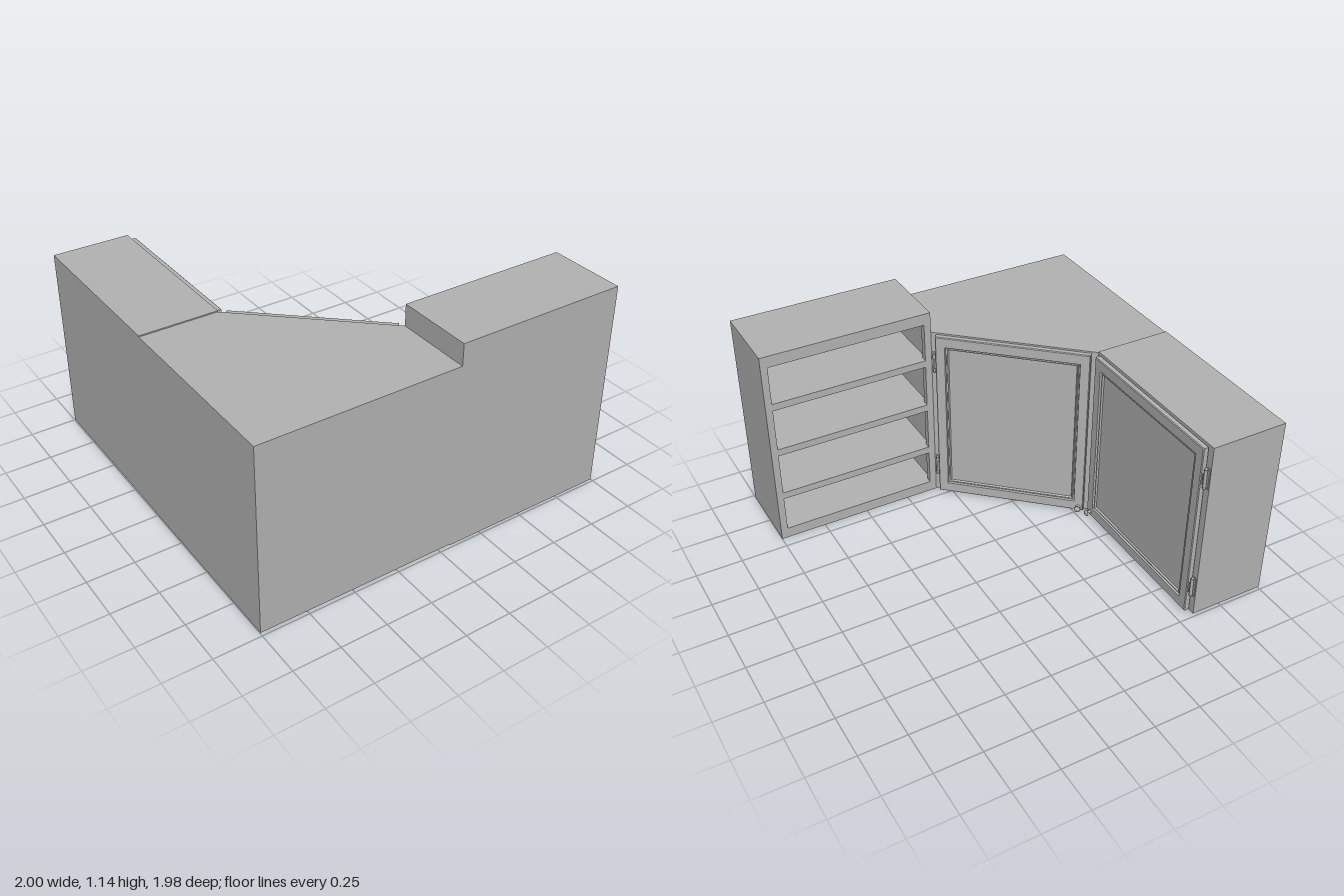
import * as THREE from 'three';

const grey = new THREE.MeshStandardMaterial({ color: 0xb3b3b3 });
grey.name = 'cabinet grey';

function add(parent, name, geometry, x = 0, y = 0, z = 0) {
  const mesh = new THREE.Mesh(geometry, grey);
  mesh.name = name;
  mesh.position.set(x, y, z);
  parent.add(mesh);
  return mesh;
}

// Box given by its lower and upper corners
function block(parent, name, [x0, y0, z0], [x1, y1, z1]) {
  return add(parent, name, new THREE.BoxGeometry(x1 - x0, y1 - y0, z1 - z0),
    (x0 + x1) / 2, (y0 + y1) / 2, (z0 + z1) / 2);
}

// Moulded door slab: nested rectangles, each with an inset and a depth
function doorGeometry(w, h) {
  const rings = [[0, 0], [0, 0.024], [0.004, 0.028], [0.051, 0.028], [0.054, 0.017],
    [0.058, 0.017], [0.061, 0.023], [0.065, 0.023], [0.07, 0.014]];
  const pos = [], index = [];
  for (const [d, z] of rings) {
    const dy = d > 0.01 ? d + 0.007 : d;
    pos.push(d, dy, z, w - d, dy, z, w - d, h - dy, z, d, h - dy, z);
  }
  for (let r = 0; r < rings.length - 1; r++) {
    for (let i = 0; i < 4; i++) {
      const a = r * 4 + i, b = r * 4 + (i + 1) % 4;
      index.push(a, b, b + 4, a, b + 4, a + 4);
    }
  }
  const last = (rings.length - 1) * 4;
  index.push(last, last + 1, last + 2, last, last + 2, last + 3, 0, 2, 1, 0, 3, 2);
  const g = new THREE.BufferGeometry();
  g.setAttribute('position', new THREE.Float32BufferAttribute(pos, 3));
  g.setIndex(index);
  const flat = g.toNonIndexed();
  flat.computeVertexNormals();
  return flat;
}

const knobProfile = [[0, 0], [0.013, 0], [0.013, 0.004], [0.006, 0.008], [0.006, 0.018],
  [0.017, 0.022], [0.018, 0.027], [0.013, 0.032], [0, 0.034]].map(p => new THREE.Vector2(...p));

function hinge(parent, x, y, side) {
  const g = new THREE.Group();
  g.name = 'hinge';
  g.position.set(x, y, 0.014);
  add(g, 'hingeBarrel', new THREE.CylinderGeometry(0.008, 0.008, 0.1, 12));
  for (const s of [-1, 1]) {
    add(g, 'hingeTip', new THREE.SphereGeometry(0.007, 12, 8), 0, s * 0.056, 0);
    add(g, 'hingeCollar', new THREE.CylinderGeometry(0.0095, 0.0095, 0.006, 12), 0, s * 0.05, 0);
  }
  // One leaf lies on the cabinet, the other wraps the door edge
  add(g, 'cabinetLeaf', new THREE.BoxGeometry(0.016, 0.12, 0.004), side * 0.006, 0, -0.011);
  add(g, 'doorLeaf', new THREE.BoxGeometry(0.012, 0.06, 0.004), -side * 0.008, 0, 0.013);
  parent.add(g);
}

// Door with knob and hinges; local z points out of the cabinet
function door(root, name, [px, pz], angle, x0, x1, knobX, hingeX, side) {
  const g = new THREE.Group();
  g.name = name;
  g.position.set(px, 0, pz);
  g.rotation.y = angle;
  add(g, 'doorPanel', doorGeometry(x1 - x0, 1), x0, 0.018, 0.005);
  add(g, 'knob', new THREE.LatheGeometry(knobProfile, 20), knobX, 0.04, 0.032).rotation.x = Math.PI / 2;
  for (const y of [0.18, 0.85]) hinge(g, hingeX, y, side);
  root.add(g);
}

export function createModel() {
  const root = new THREE.Group();
  root.name = 'cornerCabinets';

  // Straight cabinet
  block(root, 'sideCabinet', [-1, 0.01, -0.99], [-0.585, 1.03, -0.03]);

  // Five-sided corner cabinet
  const plan = new THREE.Shape([[-1, 0.03], [-1, -0.985], [0.07, -0.985], [0.07, -0.565], [-0.585, 0.03]]
    .map(p => new THREE.Vector2(...p)));
  const corner = new THREE.ExtrudeGeometry(plan, { depth: 1.018, bevelEnabled: false });
  corner.rotateX(-Math.PI / 2);
  add(root, 'cornerCabinet', corner, 0, 0.006, 0);

  // Doors
  door(root, 'sideDoor', [-0.585, 0], Math.PI / 2, 0.05, 0.958, 0.08, 0.97, 1);
  door(root, 'cornerDoor', [0.07, 0.565], Math.atan2(0.595, -0.655), 0.03, 0.85, 0.822, 0.018, -1);

  // Open shelf unit: carcass
  const shelf = new THREE.Group();
  shelf.name = 'openShelfUnit';
  root.add(shelf);
  const z0 = 0.565, zf = 0.6, z1 = 0.985;
  block(shelf, 'backPanel', [0.07, 0, 0.967], [1, 1.14, z1]);
  for (const [a, b] of [[0.07, 0.09], [0.98, 1]]) block(shelf, 'sidePanel', [a, 0, zf], [b, 1.14, 0.967]);
  block(shelf, 'topPanel', [0.09, 1.118, zf], [0.98, 1.14, 0.967]);
  block(shelf, 'bottomPanel', [0.09, 0, zf], [0.98, 0.06, 0.967]);

  // Face frame and shelves
  for (const [a, b] of [[0.07, 0.107], [0.963, 1]]) block(shelf, 'frameStile', [a, 0, z0], [b, 1.14, zf]);
  block(shelf, 'topRail', [0.107, 1.076, z0], [0.963, 1.14, zf]);
  block(shelf, 'bottomRail', [0.107, 0, z0], [0.963, 0.06, zf]);
  for (const y of [0.26, 0.54, 0.82]) {
    block(shelf, 'shelfRail', [0.107, y, z0], [0.963, y + 0.04, zf]);
    block(shelf, 'shelf', [0.09, y + 0.015, zf], [0.98, y + 0.04, 0.967]);
  }
  return root;
}
